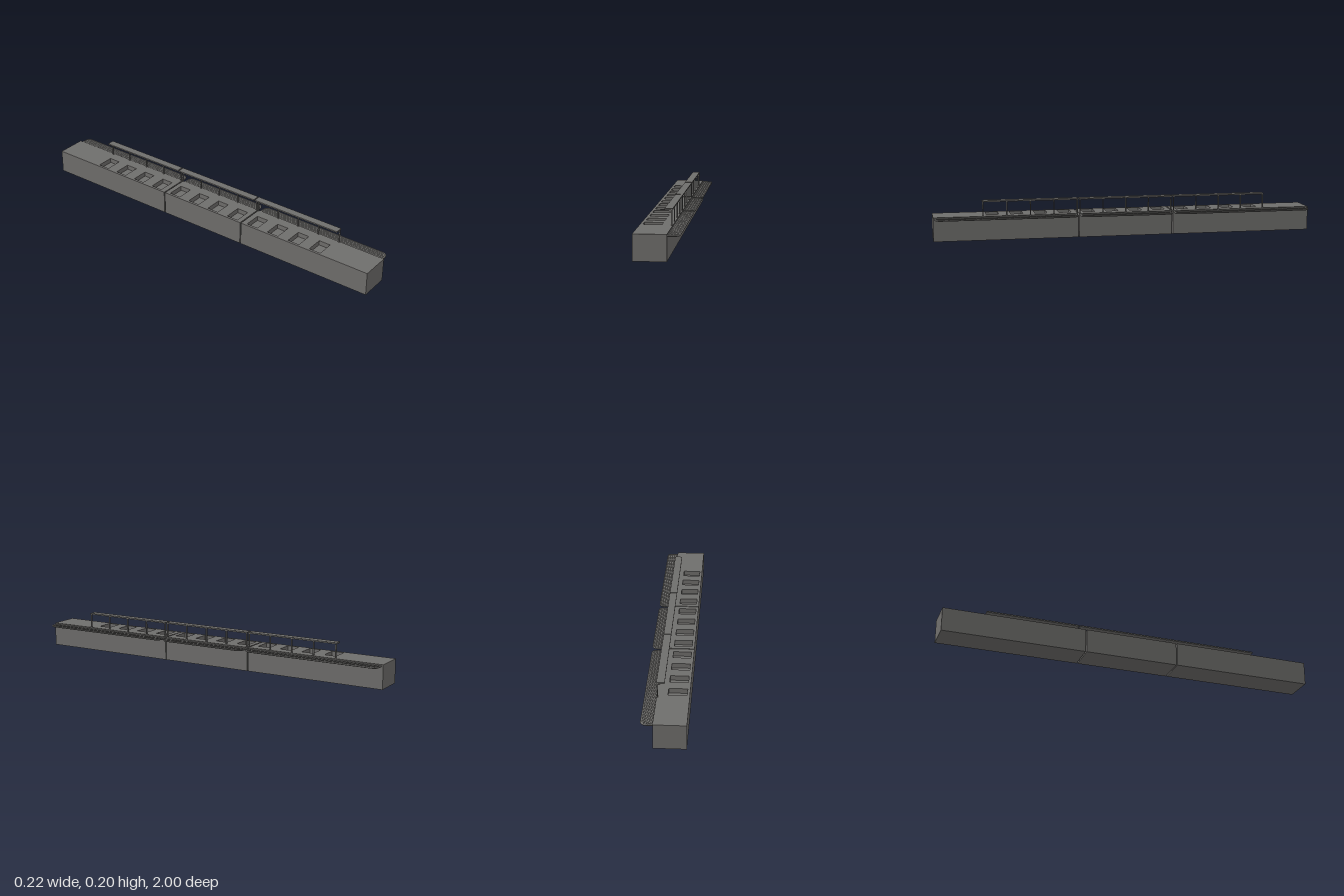
import * as THREE from 'three';

const material = new THREE.MeshStandardMaterial({ color: 0x6f6e6c });
const BACK = -0.108, FRONT = 0.049, TOP = 0.125, WELL = 0.025;

function add(parent, name, geometry, x = 0, y = 0, z = 0) {
  const mesh = new THREE.Mesh(geometry, material);
  mesh.name = name;
  mesh.position.set(x, y, z);
  parent.add(mesh);
}

// Box given by its lower and upper bounds
function addBox(parent, name, x0, x1, y0, y1, z0, z1) {
  add(parent, name, new THREE.BoxGeometry(x1 - x0, y1 - y0, z1 - z0),
    (x0 + x1) / 2, (y0 + y1) / 2, (z0 + z1) / 2);
}

// Plan outline (x, -z) extruded upwards
function extrudeUp(shape, depth) {
  return new THREE.ExtrudeGeometry(shape, { depth, bevelEnabled: false, curveSegments: 8 }).rotateX(-Math.PI / 2);
}

// Counter-clockwise rectangle in plan
function rectangle(target, x0, x1, z0, z1) {
  target.moveTo(x0, -z1).lineTo(x1, -z1).lineTo(x1, -z0).lineTo(x0, -z0).closePath();
  return target;
}

// Cabinet with a row of recessed wells in its top
function addCabinet(parent, z0, z1, wells) {
  addBox(parent, 'cabinet', BACK, FRONT, 0, TOP - WELL, z0, z1);
  const top = rectangle(new THREE.Shape(), BACK, FRONT, z0, z1);
  for (const z of wells) top.holes.push(rectangle(new THREE.Path(), -0.095, -0.004, z - 0.032, z + 0.032));
  add(parent, 'counterTop', extrudeUp(top, WELL), 0, TOP - WELL, 0);
}

// Tray slide: plate with rounded outer corners, tubular rim and ribs
function addTraySlide(parent, z0, z1) {
  const y = 0.117, r = 0.0045, outer = 0.108 - r, a = z0 + r, b = z1 - r, c = 0.03;
  const plate = new THREE.Shape();
  plate.moveTo(FRONT, -b).lineTo(outer - c, -b).quadraticCurveTo(outer, -b, outer, -b + c);
  plate.lineTo(outer, -a - c).quadraticCurveTo(outer, -a, outer - c, -a).lineTo(FRONT, -a).closePath();
  add(parent, 'trayPlate', extrudeUp(plate, 0.004), 0, y - 0.002, 0);

  const v = (x, z) => new THREE.Vector3(x, y, z);
  const tube = (curve, steps) => add(parent, 'trayRim', new THREE.TubeGeometry(curve, steps, r, 24));
  tube(new THREE.LineCurve3(v(outer, a + c), v(outer, b - c)), 1);
  for (const [end, corner] of [[a, a + c], [b, b - c]]) {
    tube(new THREE.LineCurve3(v(FRONT, end), v(outer - c, end)), 1);
    tube(new THREE.QuadraticBezierCurve3(v(outer - c, end), v(outer, end), v(outer, corner)), 10);
  }

  for (const x of [0.055, 0.067, 0.079, 0.091]) {
    const inset = x > 0.08 ? 0.012 : 0.004;
    const rib = new THREE.CylinderGeometry(0.004, 0.004, b - a - 2 * inset, 24).rotateX(Math.PI / 2);
    add(parent, 'trayRib', rib, x, y, (a + b) / 2);
  }
}

// Overhead shelf on a row of slim posts
function addShelf(parent, z0, z1) {
  addBox(parent, 'shelf', 0.01, FRONT, 0.198, 0.205, z0, z1);
  for (let i = 0; i < 5; i++) {
    const z = THREE.MathUtils.lerp(z0 + 0.004, z1 - 0.004, i / 4);
    addBox(parent, 'shelfPost', 0.041, 0.047, TOP, 0.198, z - 0.003, z + 0.003);
  }
}

export function createModel() {
  const model = new THREE.Group();
  model.name = 'servingCounter';
  const gap = 0.003;
  const sections = [
    { z: [-1, -0.25 - gap], tray: [-0.992, -0.258], shelf: [-0.75, -0.25 - gap] },
    { z: [-0.25 + gap, 0.25 - gap], tray: [-0.244, 0.244], shelf: [-0.25 + gap, 0.25 - gap] },
    { z: [0.25 + gap, 1], tray: [0.258, 0.992], shelf: [0.25 + gap, 0.75] },
  ];
  sections.forEach((s, n) => {
    const section = new THREE.Group();
    section.name = 'counterSection';
    const wells = [0, 1, 2, 3].map((i) => (n * 4 + i - 5.5) * 0.126);
    addCabinet(section, ...s.z, wells);
    addTraySlide(section, ...s.tray);
    addShelf(section, ...s.shelf);
    model.add(section);
  });
  return model;
}
